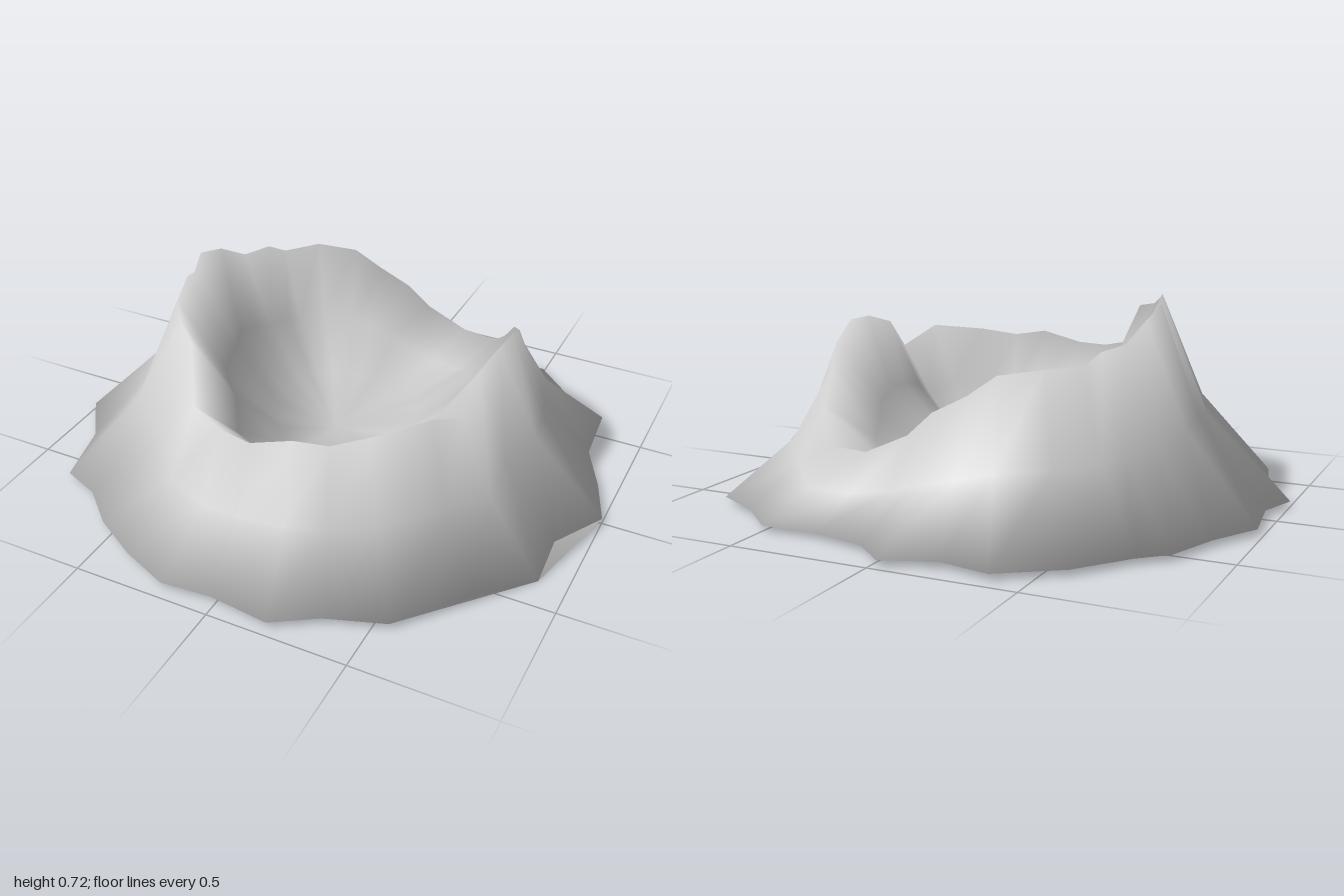
import * as THREE from 'three';

// One entry per spoke: foot x, foot z, rim radius, rim height
const SPOKES = [
  [1, 0, 0.58, 0.605], [0.89, 0.19, 0.57, 0.57], [0.9, 0.38, 0.61, 0.46], [0.74, 0.56, 0.63, 0.525],
  [0.55, 0.8, 0.63, 0.5], [0.35, 0.87, 0.64, 0.475], [0.2, 0.965, 0.65, 0.49], [-0.02, 0.94, 0.66, 0.45],
  [-0.2, 0.955, 0.65, 0.45], [-0.38, 0.88, 0.65, 0.48], [-0.55, 0.78, 0.58, 0.64], [-0.68, 0.66, 0.58, 0.66],
  [-0.82, 0.605, 0.58, 0.7], [-0.88, 0.36, 0.55, 0.72], [-1, 0.19, 0.55, 0.68], [-0.95, 0.04, 0.57, 0.71],
  [-0.98, -0.18, 0.57, 0.67], [-0.88, -0.36, 0.57, 0.6], [-0.81, -0.55, 0.59, 0.59], [-0.72, -0.63, 0.6, 0.55],
  [-0.58, -0.81, 0.62, 0.55], [-0.38, -0.945, 0.6, 0.53], [-0.2, -0.91, 0.6, 0.46], [-0.02, -0.975, 0.6, 0.4],
  [0.1, -0.87, 0.62, 0.32], [0.3, -0.825, 0.66, 0.25], [0.5, -0.83, 0.7, 0.25], [0.64, -0.7, 0.68, 0.36],
  [0.82, -0.6, 0.63, 0.47], [0.84, -0.36, 0.62, 0.54], [0.93, -0.18, 0.6, 0.605],
];
const LOW_SPOKE = 2; // foot that dips to the ground; the underside fans out from it
const FLOOR = 0.11;

export function createModel() {
  const n = SPOKES.length;
  const lerp = THREE.MathUtils.lerp;
  const positions = [];
  const index = [];

  // Profile of a spoke, from foot over the rim into the crater: [radius, height]
  const rings = [
    (foot, y0) => [foot, y0],
    (foot, y0, r, y) => [lerp(foot, r, 0.63), lerp(y0, y, 0.45)],
    (foot, y0, r, y) => [r, y],
    (foot, y0, r, y) => [r * 0.74, lerp(FLOOR, y, 0.5)],
    (foot, y0, r, y) => [r * 0.45, lerp(FLOOR, y, 0.15)],
  ];
  for (const ring of rings) {
    SPOKES.forEach(([x, z, rimRadius, rimY], i) => {
      const foot = Math.hypot(x, z);
      const [r, y] = ring(foot, i === LOW_SPOKE ? 0 : 0.02, rimRadius, rimY);
      positions.push((x / foot) * r, y, (z / foot) * r);
    });
  }
  const center = positions.length / 3;
  positions.push(-0.02, FLOOR, 0.03);

  for (let i = 0; i < n; i++) {
    const j = (i + 1) % n;
    // Slopes and crater walls
    for (let k = 0; k < rings.length - 1; k++) {
      const a = k * n + i, b = k * n + j;
      index.push(a, a + n, b, b, a + n, b + n);
    }
    // Crater floor
    const last = (rings.length - 1) * n;
    index.push(last + i, center, last + j);
    // Underside
    if (i !== LOW_SPOKE && j !== LOW_SPOKE) index.push(LOW_SPOKE, i, j);
  }

  const geometry = new THREE.BufferGeometry();
  geometry.setAttribute('position', new THREE.Float32BufferAttribute(positions, 3));
  geometry.setIndex(index);
  geometry.computeVertexNormals();

  // Soft foot edge: normals point outward and slightly down
  const normal = new THREE.Vector3();
  SPOKES.forEach(([x, z], i) => {
    normal.set(x, -0.18, z).normalize();
    geometry.attributes.normal.setXYZ(i, normal.x, normal.y, normal.z);
  });

  const crater = new THREE.Mesh(geometry, new THREE.MeshStandardMaterial({ color: 0xcccccc, side: THREE.DoubleSide }));
  crater.name = 'crater';
  const group = new THREE.Group();
  group.name = 'craterHill';
  group.add(crater);
  return group;
}
